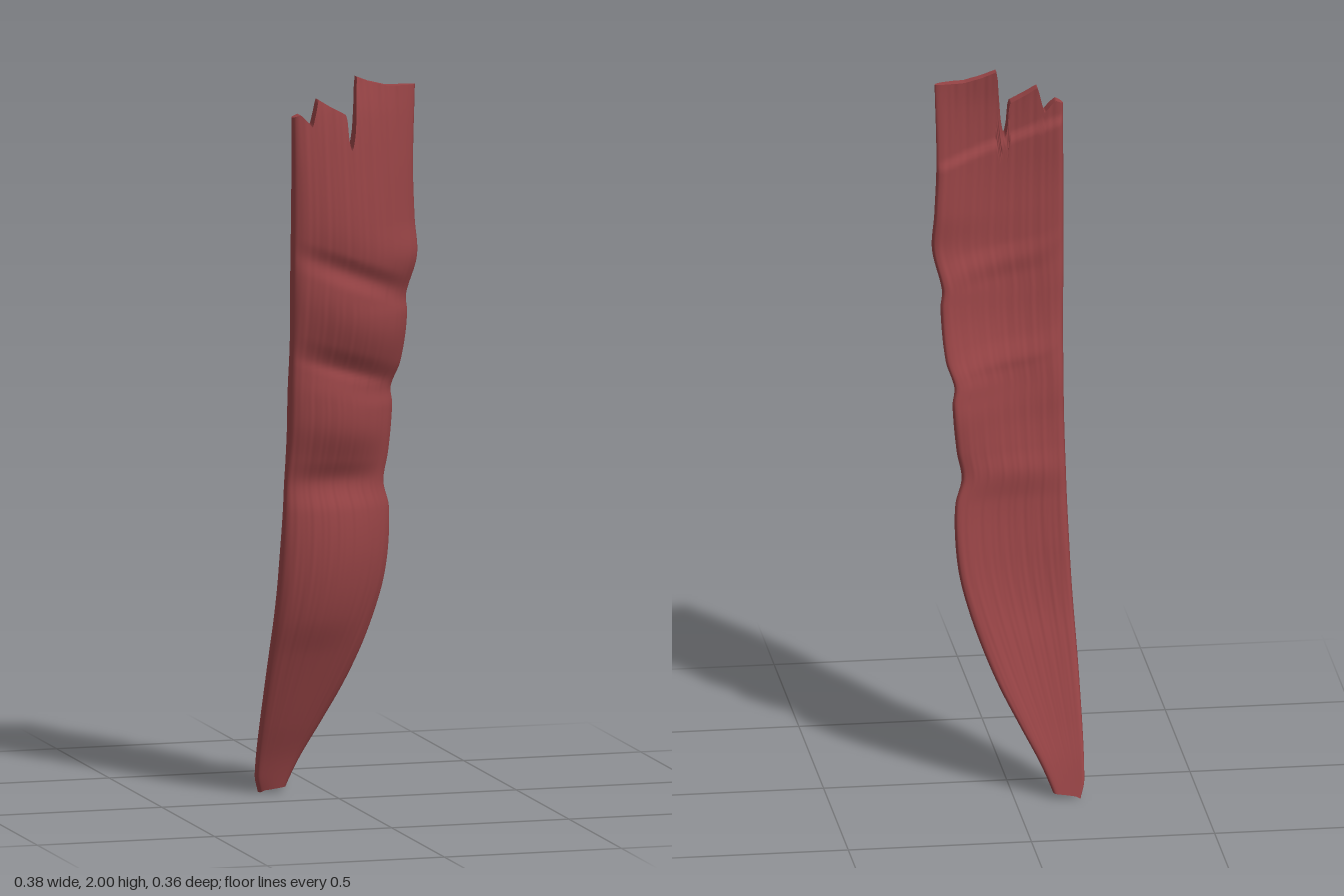
import * as THREE from 'three';

const COLS = 90, ROWS = 200;
const { lerp, smoothstep, clamp } = THREE.MathUtils;

// Smooth curve through [position, value] keys
function keyed(keys) {
  const slope = i => {
    const a = keys[Math.max(i - 1, 0)], b = keys[Math.min(i + 1, keys.length - 1)];
    return (b[1] - a[1]) / (b[0] - a[0]);
  };
  return p => {
    if (p <= keys[0][0]) return keys[0][1];
    let i = 0;
    while (i < keys.length - 1 && keys[i + 1][0] < p) i++;
    if (i === keys.length - 1) return keys[i][1];
    const [p0, v0] = keys[i], [p1, v1] = keys[i + 1], h = p1 - p0, t = (p - p0) / h;
    const e = t * t * (3 - 2 * t);
    return v0 + (v1 - v0) * e + h * t * (1 - t) * ((1 - t) * slope(i) - t * slope(i + 1));
  };
}

// Straight segments, used for the torn edge
function jagged(keys) {
  return p => {
    for (let i = 1; i < keys.length; i++) {
      const [a, v] = keys[i - 1], [b, w] = keys[i];
      if (p <= b) return v + (w - v) * Math.max(0, (p - a) / (b - a));
    }
    return keys[keys.length - 1][1];
  };
}

// Side outlines
const leftX = keyed([[0, -0.178], [0.05, -0.191], [0.3, -0.189], [0.6, -0.176], [0.9, -0.166],
  [1.2, -0.166], [1.5, -0.172], [1.9, -0.17]]);
const rightX = keyed([[0, -0.11], [0.03, -0.1], [0.1, -0.07], [0.2, -0.018], [0.3, 0.032], [0.4, 0.073],
  [0.5, 0.107], [0.6, 0.132], [0.7, 0.142], [0.8, 0.14], [0.87, 0.122], [0.95, 0.136], [1.08, 0.147],
  [1.13, 0.141], [1.2, 0.162], [1.34, 0.172], [1.39, 0.167], [1.5, 0.191], [1.6, 0.185], [1.75, 0.178], [1.97, 0.183]]);
// Depth of the folded front, the calmer left edge and the rearmost right edge
const frontZ = keyed([[0, -0.142], [0.1, -0.11], [0.2, -0.07], [0.4, 0.005], [0.5, 0.046], [0.6, 0.07],
  [0.7, 0.08], [0.8, 0.075], [0.88, 0.056], [0.94, 0.08], [1.02, 0.111], [1.1, 0.119], [1.16, 0.113], [1.19, 0.107],
  [1.25, 0.14], [1.33, 0.166], [1.41, 0.17], [1.46, 0.158], [1.51, 0.178], [1.6, 0.184], [1.75, 0.174],
  [1.9, 0.155], [2, 0.128]]);
const leftZ = keyed([[0, -0.152], [0.1, -0.122], [0.2, -0.086], [0.4, -0.016], [0.5, 0.016], [0.6, 0.038],
  [0.7, 0.05], [0.8, 0.056], [0.88, 0.06], [0.95, 0.074], [1.05, 0.096], [1.2, 0.112], [1.35, 0.138],
  [1.5, 0.15], [1.75, 0.153], [1.9, 0.142], [2, 0.132]]);
const rearZ = keyed([[0, -0.165], [0.1, -0.142], [0.2, -0.114], [0.4, -0.058], [0.5, -0.042], [0.65, -0.022],
  [0.8, -0.004], [0.88, 0.006], [0.95, 0.002], [1.05, 0], [1.13, 0.01], [1.2, 0.03], [1.3, 0.055],
  [1.4, 0.07], [1.5, 0.092], [1.6, 0.09], [1.75, 0.098], [1.9, 0.1], [2, 0.1]]);
const thickness = keyed([[0, 0.03], [0.3, 0.042], [0.65, 0.055], [0.88, 0.042], [1.05, 0.058], [1.19, 0.045],
  [1.35, 0.055], [1.46, 0.05], [1.6, 0.055], [1.75, 0.055], [1.88, 0.046], [2, 0.036]]);
// Folds run downward to the right on the upper half
const foldSlant = keyed([[0, 0], [0.85, 0], [1.17, 0.28], [1.5, 0.38], [1.8, 0.2], [2, 0]]);
// Torn top and cut bottom
const tornTop = jagged([[-0.175, 1.895], [-0.15, 1.905], [-0.135, 1.89], [-0.118, 1.87], [-0.1, 1.945], [-0.06, 1.92],
  [-0.022, 1.9], [-0.016, 1.82], [-0.008, 1.8], [0.002, 1.85], [0.012, 2], [0.05, 1.985], [0.1, 1.972], [0.19, 1.97]]);
const cutBottom = jagged([[-0.18, 0], [-0.165, 0.008], [-0.14, 0.012], [-0.1, 0.018]]);

// Fine lengthwise fibres
function fibre(u, y) {
  const w = u + 0.03 * Math.sin(y * 2.3) + 0.012 * Math.sin(y * 7);
  return 0.0005 * Math.sin(w * 47 + 2 * Math.sin(y * 3)) + 0.0004 * Math.sin(w * 83 + 3 * Math.sin(y * 4.1 + 1))
    + 0.0003 * Math.sin(w * 131 + y * 6);
}

// A point on the strip: u runs left to right, v bottom to top
function point(u, v, back) {
  const base = v * 2, s = u * 2 - 1;
  const flatX = lerp(leftX(base), rightX(base), u);
  let y = base;
  if (base > 1.5) y = 1.5 + (base - 1.5) / 0.5 * (tornTop(flatX) - 1.5);
  if (base < 0.2) y = lerp(cutBottom(flatX), 0.2, base / 0.2);
  const x = lerp(leftX(y), rightX(y), u);
  // The folds lie more level across the back
  const slant = foldSlant(y) * (back ? 0.5 + 0.5 * s ** 4 : 1);
  const fy = clamp(y + slant * x, 0, 2);
  const t = thickness(fy), front = frontZ(fy);
  // Bowed cross-section, swept back at the right edge
  const l = leftZ(y), c = front - 0.003;
  const r = Math.min(front, rearZ(y) + t * 0.6);
  const z = c + (r - l) / 2 * s + ((l + r) / 2 - c) * s * s;
  // Blunt left edge, rounder right edge
  const round = Math.sqrt(Math.max(0, 1 - Math.abs(s) ** (s < 0 ? 18 : 8)));
  let half = t / 2 * round;
  if (back) {
    // Flatter back, fuller towards the left
    const bow = Math.max(0, c - (l + r) / 2) * (1 - s * s);
    half += bow * lerp(0.5, 0.15, smoothstep(y, 1.5, 1.8));
    half += 0.012 * round * smoothstep(-s, -0.2, 0.9) * smoothstep(y, 0.95, 1.2) * (1 - smoothstep(y, 1.5, 1.75));
    // Slanted layer edge on the back of the torn end
    half -= 0.012 * round * smoothstep(y + 0.35 * x, 1.78, 1.81);
  }
  half += fibre(u + (back ? 3 : 0), y) * round * smoothstep(y, 0, 0.6);
  return [x, y, z - t / 2 + (back ? -half : half)];
}

// Closed cross-section loops stacked from bottom to top
function stripGeometry() {
  const pos = [], index = [], ring = COLS * 2;
  for (let j = 0; j <= ROWS; j++) {
    for (let k = 0; k < ring; k++) {
      const back = k > COLS;
      pos.push(...point((back ? ring - k : k) / COLS, j / ROWS, back));
    }
  }
  for (let j = 0; j < ROWS; j++) {
    for (let k = 0; k < ring; k++) {
      const a = j * ring + k, b = j * ring + (k + 1) % ring;
      index.push(a, b, b + ring, a, b + ring, a + ring);
    }
  }
  // End faces with their own vertices so the rims stay sharp
  for (const v of [0, 1]) {
    const start = pos.length / 3;
    for (let i = 0; i <= COLS; i++) pos.push(...point(i / COLS, v, false), ...point(i / COLS, v, true));
    for (let i = 0; i < COLS; i++) {
      const f = start + i * 2, b = f + 1;
      if (v) index.push(f, f + 2, b + 2, f, b + 2, b);
      else index.push(f, b + 2, f + 2, f, b, b + 2);
    }
  }
  const geometry = new THREE.BufferGeometry();
  geometry.setAttribute('position', new THREE.Float32BufferAttribute(pos, 3));
  geometry.setIndex(index);
  geometry.computeVertexNormals();
  return geometry;
}

export function createModel() {
  const group = new THREE.Group();
  group.name = 'tornStrip';
  const strip = new THREE.Mesh(stripGeometry(), new THREE.MeshStandardMaterial({ color: 0x984446 }));
  strip.name = 'foldedStrip';
  group.add(strip);
  return group;
}
